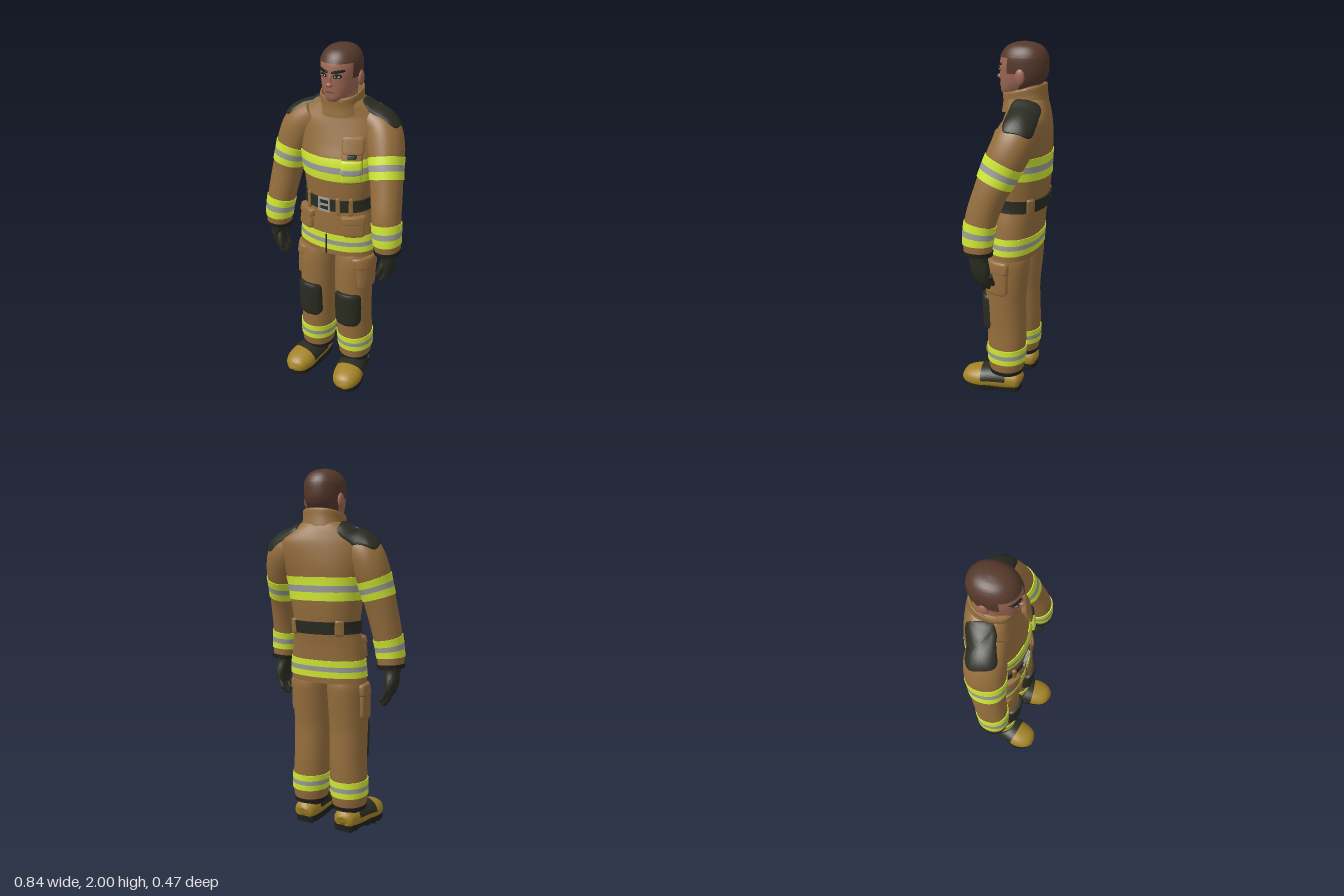
import * as THREE from 'three';
import { toCreasedNormals } from 'three/addons/utils/BufferGeometryUtils.js';

const V = (x, y, z) => new THREE.Vector3(x, y, z);
const colours = {
  tan: 0x946d3c, lime: 0xd0e833, grey: 0x9b9c98, charcoal: 0x2a2b21, black: 0x1e1e1c,
  mustard: 0xa38225, skin: 0x9c6754, hair: 0x55382b, lip: 0x7c4a40, white: 0xc9c4bb,
};

export function createModel() {
  const model = new THREE.Group();
  model.name = 'firefighter';
  const mats = {};
  for (const [name, color] of Object.entries(colours)) {
    mats[name] = new THREE.MeshStandardMaterial({ color });
    mats[name].name = name;
  }
  const add = (name, mat, geometry) => {
    const mesh = new THREE.Mesh(geometry, mats[mat]);
    mesh.name = name;
    model.add(mesh);
    return mesh;
  };
  const build = (pos, idx, crease = 0.8) => {
    const g = new THREE.BufferGeometry();
    g.setAttribute('position', new THREE.Float32BufferAttribute(pos, 3));
    g.setIndex(idx);
    return toCreasedNormals(g, crease);
  };

  // Body form through rows of [x, y, z, halfWidth, halfDepth, yaw]
  const form = (rows, { flat = true, ref = V(0, 0, 1), n = 2.3 } = {}) => {
    const path = new THREE.CatmullRomCurve3(rows.map(r => V(r[0], r[1], r[2])), false, 'catmullrom');
    const size = new THREE.CatmullRomCurve3(rows.map(r => V(r[3], r[4], r[5] || 0)), false, 'catmullrom');
    const pw = x => Math.sign(x) * Math.abs(x) ** (2 / n);
    const tAt = y => {
      let lo = 0, hi = 1;
      for (let i = 0; i < 30; i++) {
        const m = (lo + hi) / 2;
        if (path.getPoint(m).y < y) lo = m; else hi = m;
      }
      return lo;
    };
    // Skin of the form between t0 and t1, optionally only over an arc (0 = front)
    const geo = ({ t0 = 0, t1 = 1, a0 = 0, a1 = Math.PI * 2, grow = 0, steps = 36, seg = 44 } = {}) => {
      const full = a1 - a0 > 6.28, cols = full ? seg : seg + 1, pos = [], idx = [];
      for (let i = 0; i <= steps; i++) {
        const t = t0 + (t1 - t0) * i / steps, c = path.getPoint(t), s = size.getPoint(t);
        const T = flat ? V(0, 1, 0) : path.getTangent(t);
        const D = ref.clone().addScaledVector(T, -ref.dot(T)).normalize().applyAxisAngle(T, s.z);
        const S = T.clone().cross(D);
        for (let j = 0; j < cols; j++) {
          const a = a0 + (a1 - a0) * j / seg;
          const p = c.clone().addScaledVector(S, (s.x + grow) * pw(Math.sin(a)))
            .addScaledVector(D, (s.y + grow) * pw(Math.cos(a)));
          pos.push(p.x, p.y, p.z);
        }
        if (i === steps) break;
        for (let j = 0; j < seg; j++) {
          const k = (j + 1) % cols, a = i * cols, b = a + cols;
          idx.push(a + j, a + k, b + k, a + j, b + k, b + j);
        }
      }
      if (full) {
        const m = pos.length / 3, last = steps * cols;
        for (const t of [t0, t1]) pos.push(...path.getPoint(t).toArray());
        for (let j = 0; j < cols; j++) {
          const k = (j + 1) % cols;
          idx.push(m, k, j, m + 1, last + j, last + k);
        }
      }
      return build(pos, idx);
    };
    const band = (name, mat, y0, y1, grow, opt = {}) =>
      add(name, mat, geo({ t0: tAt(y0), t1: tAt(y1), grow, steps: 6, ...opt }));
    const stripes = (name, y0, y1) => {
      const a = y0 + (y1 - y0) * 0.36, b = y0 + (y1 - y0) * 0.64;
      band(name + 'Lower', 'lime', y0, a, 0.005);
      band(name + 'Middle', 'grey', a, b, 0.005);
      band(name + 'Upper', 'lime', b, y1, 0.005);
    };
    return { geo, band, stripes };
  };

  // Rounded rectangular patch pressed onto the surface below it
  const ray = new THREE.Raycaster();
  const drape = (name, mat, targets, c, w, h, lift, [pitch, yaw, roll] = [0, 0, 0], pw = 0.4) => {
    const e = new THREE.Euler(pitch, yaw, roll, 'ZYX');
    const u = V(1, 0, 0).applyEuler(e), v = V(0, 1, 0).applyEuler(e), n = V(0, 0, 1).applyEuler(e);
    const pos = [], idx = [], seg = 36;
    const rings = [0, 0.2, 0.4, 0.6, 0.8, 0.93, 1, 1], lifts = [1, 1, 1, 1, 1, 0.95, 0.75, -0.4];
    rings.forEach((r, k) => {
      for (let j = 0; j < seg; j++) {
        const a = j / seg * Math.PI * 2, co = Math.cos(a), si = Math.sin(a);
        const p = V(...c).addScaledVector(u, r * w / 2 * Math.sign(co) * Math.abs(co) ** pw)
          .addScaledVector(v, r * h / 2 * Math.sign(si) * Math.abs(si) ** pw);
        ray.set(p.clone().addScaledVector(n, 0.3), n.clone().negate());
        const hit = ray.intersectObjects(targets, false)[0];
        if (hit && hit.distance < 0.45) p.copy(hit.point);
        p.addScaledVector(n, lift * lifts[k]);
        pos.push(p.x, p.y, p.z);
        if (k === rings.length - 1) continue;
        const q = (j + 1) % seg, A = k * seg, B = A + seg;
        idx.push(A + j, B + j, B + q, A + j, B + q, A + q);
      }
    });
    return add(name, mat, build(pos, idx));
  };

  // Jacket, turned slightly at the shoulders
  const jacket = form([
    [0, 0.858, -0.036, 0.23, 0.133], [0, 0.95, -0.04, 0.223, 0.136], [0, 1.06, -0.046, 0.208, 0.14],
    [0, 1.16, -0.056, 0.189, 0.146], [0, 1.28, -0.059, 0.201, 0.157, 0.03], [0, 1.4, -0.061, 0.217, 0.16, 0.09],
    [0, 1.5, -0.08, 0.237, 0.147, 0.18], [0, 1.6, -0.094, 0.25, 0.128, 0.25],
    [0, 1.66, -0.097, 0.21, 0.114, 0.23], [0, 1.72, -0.09, 0.118, 0.104, 0.1]], { n: 2.15 });
  const torso = add('jacket', 'tan', jacket.geo({ steps: 54, seg: 60 }));
  jacket.stripes('chestBand', 1.31, 1.435);
  jacket.stripes('hemBand', 0.89, 0.985);
  jacket.band('belt', 'charcoal', 1.13, 1.197, 0.01);
  jacket.band('frontFlap', 'tan', 0.99, 1.66, 0.004, { a0: -0.28, a1: 0.02, steps: 40, seg: 8 });
  jacket.band('hemSplit', 'black', 0.862, 0.985, 0.008, { a0: -0.014, a1: 0.014, seg: 2 });
  [-0.13, 0.07, 0.15].forEach(x =>
    drape('beltLoop', 'tan', [torso], [x, 1.163, 0.1], 0.024, 0.1, 0.017, [0, x * 3, 0]));
  [1, -1].forEach(s =>
    drape('rearBeltLoop', 'tan', [torso], [s * 0.14, 1.163, -0.165], 0.05, 0.085, 0.018, [0, s * 2.4, 0]));

  // Buckle
  const frame = new THREE.Shape([[-0.035, -0.04], [0.035, -0.04], [0.035, 0.04], [-0.035, 0.04]].map(p => new THREE.Vector2(...p)));
  frame.holes.push(new THREE.Path([[-0.026, -0.03], [-0.026, 0.03], [0.026, 0.03], [0.026, -0.03]].map(p => new THREE.Vector2(...p))));
  add('buckle', 'grey', new THREE.ExtrudeGeometry(frame, { depth: 0.01, bevelEnabled: false }).translate(-0.012, 1.163, 0.097));
  add('bucklePin', 'grey', new THREE.BoxGeometry(0.05, 0.009, 0.008).translate(-0.012, 1.163, 0.104));

  // Chest pocket with its own reflective strip
  const py = [0, 0.35, 0];
  drape('chestPocket', 'tan', [torso], [0.137, 1.4, 0.07], 0.108, 0.19, 0.016, py, 0.3);
  drape('chestPocketFlap', 'tan', [torso], [0.137, 1.51, 0.06], 0.118, 0.09, 0.024, py, 0.3);
  drape('pocketStripLime', 'lime', [torso], [0.139, 1.373, 0.08], 0.108, 0.124, 0.021, py, 0.15);
  drape('pocketStripGrey', 'grey', [torso], [0.139, 1.373, 0.08], 0.104, 0.035, 0.025, py, 0.15);
  drape('pocketTab', 'charcoal', [torso], [0.137, 1.457, 0.07], 0.05, 0.022, 0.03, py);

  // Collar: outside, rim, then inside; high at the nape
  const collar = form([[0, 1.67, -0.08, 0.124, 0.12], [0, 1.72, -0.08, 0.112, 0.114], [0, 1.762, -0.078, 0.112, 0.113],
    [0, 1.762, -0.078, 0.102, 0.103], [0, 1.71, -0.078, 0.1, 0.1]]).geo({ steps: 24 });
  const cp = collar.attributes.position;
  for (let i = 0; i < cp.count; i++) cp.setY(i, cp.getY(i) - 0.25 * (cp.getZ(i) + 0.08));
  add('collar', 'tan', toCreasedNormals(collar, 0.8));

  // Head and hair
  add('neck', 'skin', form([[0, 1.66, -0.08, 0.075, 0.085], [0, 1.79, -0.085, 0.072, 0.085]]).geo({ steps: 4 }));
  const skull = form([
    [0, 1.724, 0.008, 0.032, 0.035], [0, 1.745, -0.022, 0.06, 0.075], [0, 1.785, -0.052, 0.083, 0.108],
    [0, 1.83, -0.067, 0.095, 0.124], [0, 1.88, -0.07, 0.1, 0.128], [0, 1.93, -0.073, 0.097, 0.12],
    [0, 1.97, -0.075, 0.075, 0.093], [0, 1.99, -0.075, 0.045, 0.056], [0, 1.999, -0.075, 0.006, 0.008]], { n: 2.15 });
  const head = skull.band('head', 'skin', 1.724, 1.94, 0, { steps: 30 });
  skull.band('hairCap', 'hair', 1.922, 2.1, 0.004, { steps: 18 });
  skull.band('hairSides', 'hair', 1.845, 1.923, 0.004, { a0: 1.15, a1: 5.133, steps: 8 });
  skull.band('hairNape', 'hair', 1.765, 1.846, 0.004, { a0: 1.8, a1: 4.483, steps: 8 });
  const blob = (name, mat, c, s) => add(name, mat, new THREE.SphereGeometry(1, 20, 14).scale(...s).translate(...c));
  blob('noseBridge', 'skin', [0, 1.84, 0.052], [0.011, 0.034, 0.014]);
  blob('noseTip', 'skin', [0, 1.817, 0.06], [0.018, 0.013, 0.02]);
  blob('chin', 'skin', [0, 1.744, 0.034], [0.03, 0.018, 0.018]);
  drape('mouth', 'lip', [head], [0, 1.778, 0.05], 0.05, 0.011, 0.004, [0, 0, 0], 0.8);
  for (const s of [1, -1]) {
    blob('ear', 'skin', [s * 0.104, 1.832, -0.087], [0.013, 0.04, 0.026]);
    drape('eyeSocket', 'black', [head], [s * 0.039, 1.861, 0.05], 0.044, 0.021, 0.003, [0, s * 0.2, 0], 0.8);
    drape('eyeWhite', 'white', [head], [s * 0.039, 1.859, 0.05], 0.03, 0.01, 0.005, [0, s * 0.2, 0], 0.9);
    drape('iris', 'black', [head], [s * 0.037, 1.859, 0.05], 0.011, 0.011, 0.007, [0, s * 0.2, 0], 1);
    drape('eyebrow', 'black', [head], [s * 0.041, 1.884, 0.05], 0.062, 0.014, 0.007, [0, 0, s * 0.17], 0.6);
  }

  for (const s of [1, -1]) {
    const side = s > 0 ? 'left' : 'right';
    const flip = rows => rows.map(([x, ...r]) => [x * s, ...r]);

    // Sleeve; the right shoulder sits further forward
    const shift = y => s > 0 ? 0 : 0.09 * Math.min(1, Math.max(0, (y - 1.2) / 0.36)) - 0.008;
    const sleeve = form(flip([
      [0.35, 0.94, 0.045, 0.068, 0.075], [0.342, 1.04, 0.045, 0.074, 0.08], [0.327, 1.15, 0.03, 0.078, 0.084],
      [0.306, 1.27, -0.008, 0.083, 0.088], [0.281, 1.38, -0.05, 0.086, 0.099], [0.254, 1.475, -0.09, 0.098, 0.106],
      [0.212, 1.56, -0.12, 0.1, 0.104], [0.13, 1.625, -0.125, 0.08, 0.085],
    ]).map(([x, y, z, ...r]) => [x, y, z + shift(y), ...r]), { flat: false, n: 2.15 });
    const arm = add(side + 'Sleeve', 'tan', sleeve.geo());
    sleeve.stripes(side + 'UpperArmBand', 1.325, 1.43);
    sleeve.stripes(side + 'ForearmBand', 1.0, 1.11);
    sleeve.band(side + 'Cuff', 'black', 0.941, 0.963, 0.004);
    drape(side + 'ShoulderPad', 'charcoal', [torso, arm], s > 0 ? [0.2, 1.64, -0.138] : [-0.197, 1.64, -0.066],
      0.235, 0.16, 0.01, [-1.75, s > 0 ? 0.05 : 0.38, -s * 0.6], 0.4);

    // Glove
    add(side + 'Glove', 'charcoal', form(flip([[0.352, 0.8, 0.022, 0.024, 0.046], [0.36, 0.86, 0.03, 0.033, 0.054],
      [0.354, 0.92, 0.042, 0.042, 0.05], [0.35, 0.96, 0.045, 0.05, 0.055]])).geo({ steps: 12, seg: 24 }));
    [[0.055, 0.745], [0.029, 0.728], [0.003, 0.735], [-0.021, 0.757]].forEach(([z, y]) =>
      add(side + 'Finger', 'charcoal', form(flip([[0.317, y, z - 0.004, 0.006, 0.006], [0.322, y + 0.012, z - 0.003, 0.013, 0.013],
        [0.345, y + 0.05, z, 0.015, 0.015], [0.354, 0.83, z, 0.018, 0.016]]), { flat: false, n: 2 }).geo({ steps: 10, seg: 12 })));
    add(side + 'Thumb', 'charcoal', form(flip([[0.312, 0.79, 0.08, 0.006, 0.006], [0.314, 0.803, 0.08, 0.014, 0.014],
      [0.325, 0.84, 0.075, 0.017, 0.017], [0.345, 0.895, 0.052, 0.022, 0.022]]), { flat: false, n: 2 }).geo({ steps: 10, seg: 12 }));

    // Hip pocket
    drape(side + 'HipPocket', 'tan', [torso], [s * 0.148, 1.035, 0.06], 0.125, 0.095, 0.02, [0, s * 0.6, 0], 0.3);
    drape(side + 'HipPocketFlap', 'tan', [torso], [s * 0.148, 1.085, 0.06], 0.138, 0.045, 0.028, [0, s * 0.6, 0], 0.3);

    // Trouser leg
    const trouser = form(flip([
      [0.128, 0.125, -0.022, 0.092, 0.097], [0.128, 0.2, -0.025, 0.1, 0.107], [0.123, 0.3, -0.024, 0.103, 0.111],
      [0.118, 0.4, -0.022, 0.102, 0.114], [0.116, 0.5, -0.018, 0.104, 0.114], [0.116, 0.6, -0.016, 0.105, 0.115],
      [0.114, 0.75, -0.024, 0.107, 0.121], [0.111, 0.84, -0.032, 0.105, 0.118], [0.105, 0.9, -0.036, 0.093, 0.098],
      [0.1, 0.96, -0.036, 0.082, 0.088]]), { n: 2.08 });
    const leg = add(side + 'TrouserLeg', 'tan', trouser.geo());
    trouser.stripes(side + 'ShinBand', 0.205, 0.297);
    trouser.band(side + 'TrouserHem', 'black', 0.126, 0.15, 0.003);
    drape(side + 'KneePad', 'charcoal', [leg], [s * 0.126, 0.51, 0.08], 0.155, 0.22, 0.024, [0, s * 0.08, 0], 0.3);
    drape(side + 'CargoPocket', 'tan', [leg], [s * 0.2, 0.735, 0.004], 0.14, 0.17, 0.018, [0, s * Math.PI / 2, 0], 0.3);
    drape(side + 'CargoFlap', 'tan', [leg], [s * 0.2, 0.815, 0.004], 0.15, 0.07, 0.024, [0, s * Math.PI / 2, 0], 0.3);

    // Boot: shaft, rounded foot, saddle, sole and treads
    add(side + 'BootShaft', 'charcoal', form(flip([[0.133, 0.08, -0.015, 0.052, 0.06], [0.13, 0.115, -0.022, 0.068, 0.078],
      [0.128, 0.15, -0.025, 0.08, 0.088]])).geo({ steps: 6 }));
    const foot = form(flip([
      [0.13, 0.068, -0.119, 0.022, 0.018], [0.13, 0.069, -0.114, 0.044, 0.038], [0.131, 0.07, -0.095, 0.062, 0.055],
      [0.136, 0.07, -0.03, 0.071, 0.066], [0.149, 0.07, 0.06, 0.08, 0.068], [0.161, 0.062, 0.135, 0.086, 0.066],
      [0.166, 0.056, 0.195, 0.071, 0.054], [0.168, 0.051, 0.225, 0.045, 0.032], [0.168, 0.05, 0.238, 0.018, 0.012]]),
      { flat: false, ref: V(0, 1, 0), n: 2.15 });
    const footGeo = foot.geo(), fp = footGeo.attributes.position;
    for (let i = 0; i < fp.count; i++) fp.setY(i, Math.max(fp.getY(i), 0.035));
    add(side + 'BootFoot', 'mustard', toCreasedNormals(footGeo, 0.8));
    add(side + 'BootSaddle', 'charcoal', foot.geo({ t0: 0.37, t1: 0.58, a0: -1.5, a1: 1.5, grow: 0.005, steps: 8 }));
    const outline = new THREE.SplineCurve([[0.075, -0.1], [0.13, -0.118], [0.185, -0.1], [0.202, 0], [0.236, 0.08], [0.247, 0.15],
      [0.222, 0.207], [0.167, 0.239], [0.108, 0.207], [0.081, 0.145], [0.068, 0.05], [0.062, -0.03], [0.075, -0.1]]
      .map(([x, z]) => new THREE.Vector2(x * s, z)));
    add(side + 'Sole', 'black', new THREE.ExtrudeGeometry(new THREE.Shape(outline.getPoints(48).slice(0, -1)),
      { depth: 0.032, bevelEnabled: false }).rotateX(Math.PI / 2).translate(0, 0.043, 0));
    [[-0.085, 0.13, 0.1], [-0.045, 0.132, 0.115], [0.05, 0.148, 0.135], [0.095, 0.157, 0.15], [0.14, 0.163, 0.15], [0.185, 0.166, 0.12]]
      .forEach(([z, x, w]) => add(side + 'Tread', 'black', new THREE.BoxGeometry(w, 0.016, 0.03).translate(x * s, 0.008, z)));
  }
  return model;
}
